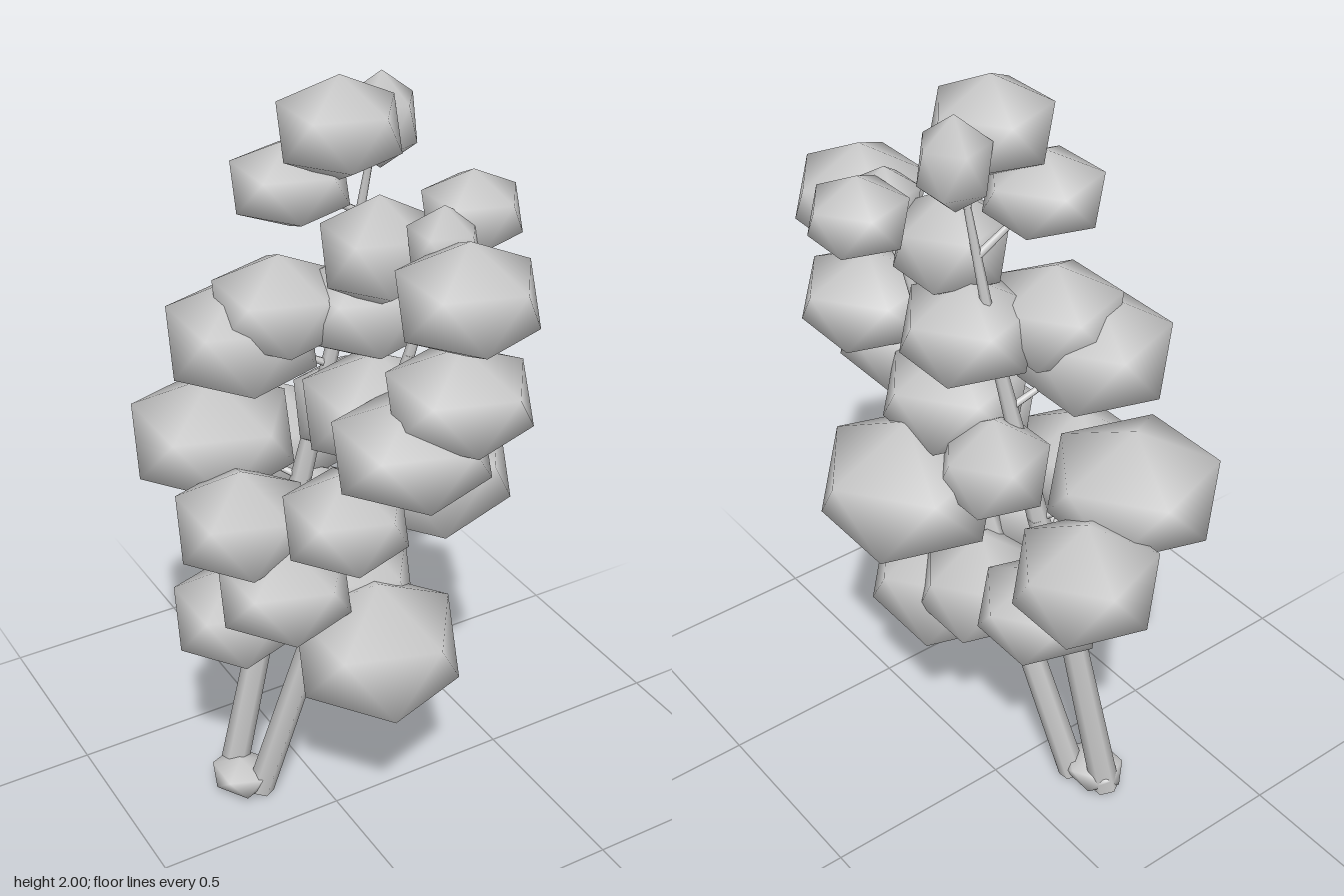
import * as THREE from 'three';

const material = new THREE.MeshStandardMaterial({ color: 0xcccccc });
const UP = new THREE.Vector3(0, 1, 0);

// Icosahedron standing on a corner, with smooth normals
function clumpGeometry() {
  const g = new THREE.IcosahedronGeometry(1, 0);
  g.rotateZ(-Math.atan(2 / (1 + Math.sqrt(5))));
  g.setAttribute('normal', g.attributes.position.clone());
  return g;
}

// Tapered six-sided limb between two points
function limb(name, a, b, r0, r1) {
  const dir = b.clone().sub(a);
  const mesh = new THREE.Mesh(new THREE.CylinderGeometry(r1, r0, dir.length(), 6), material);
  mesh.position.copy(a).add(b).multiplyScalar(0.5);
  mesh.quaternion.setFromUnitVectors(UP, dir.normalize());
  mesh.name = name;
  return mesh;
}

// Trunk stations: x, y, z, radius
const TRUNKS = {
  frontTrunk: [[-0.155, 0.015, -0.135, 0.036], [-0.06, 0.5, -0.035, 0.032], [0, 0.95, 0.08, 0.024],
    [0.08, 1.4, 0.18, 0.013], [0.12, 1.62, 0.22, 0.008]],
  backTrunk: [[-0.19, 0.015, -0.23, 0.038], [-0.09, 0.62, -0.175, 0.031], [-0.02, 0.95, -0.135, 0.026],
    [0.06, 1.4, -0.08, 0.015], [0.11, 1.82, -0.03, 0.007]],
};

// Foliage clumps: x, y, z, half width, half height
const CLUMPS = [
  // crown
  [-0.01, 1.885, 0.03, 0.135, 0.115], [0.125, 1.86, -0.025, 0.08, 0.11], [-0.08, 1.745, -0.06, 0.132, 0.1],
  [0.24, 1.695, 0.165, 0.112, 0.097], [0.13, 1.665, 0.225, 0.08, 0.09], [0.095, 1.61, 0.375, 0.154, 0.13],
  [0.06, 1.61, 0.08, 0.13, 0.13],
  // upper
  [0.105, 1.36, 0.345, 0.163, 0.125], [0.08, 1.44, -0.005, 0.155, 0.132], [-0.165, 1.36, -0.145, 0.175, 0.15],
  [-0.1, 1.445, -0.085, 0.152, 0.128], [0.01, 1.245, 0.31, 0.178, 0.13], [0.06, 1.22, 0.075, 0.17, 0.14],
  // middle
  [0.09, 1.13, -0.11, 0.128, 0.13], [0.2, 1.025, 0.07, 0.21, 0.175], [-0.09, 1.03, 0.2, 0.145, 0.128],
  [-0.185, 1.045, -0.275, 0.2, 0.155], [0.025, 0.935, -0.362, 0.167, 0.155], [-0.24, 0.95, -0.02, 0.158, 0.14],
  // lower
  [0.055, 0.78, -0.24, 0.148, 0.12], [-0.18, 0.8, 0.07, 0.16, 0.13], [-0.25, 0.68, -0.05, 0.152, 0.135],
  [0.025, 0.61, 0.155, 0.203, 0.18], [0.05, 0.695, -0.005, 0.152, 0.155],
];

// Point on a trunk at a given height
function trunkAt(stations, y) {
  const i = Math.max(1, stations.findIndex((s) => s[1] >= y));
  const a = stations[i - 1], b = stations[i];
  return new THREE.Vector3(...a).lerp(new THREE.Vector3(...b), (y - a[1]) / (b[1] - a[1]));
}

export function createModel() {
  const tree = new THREE.Group();
  tree.name = 'tree';

  // Twin leaning trunks
  for (const [name, stations] of Object.entries(TRUNKS)) {
    const trunk = new THREE.Group();
    trunk.name = name;
    for (let i = 1; i < stations.length; i++) {
      const a = stations[i - 1], b = stations[i];
      trunk.add(limb('trunkSection', new THREE.Vector3(...a), new THREE.Vector3(...b), a[3], b[3]));
    }
    tree.add(trunk);
  }

  // Clumps, all facing the same way, each carried by a twig from the nearer trunk
  const geometry = clumpGeometry();
  const foliage = new THREE.Group();
  const twigs = new THREE.Group();
  foliage.name = 'foliage';
  twigs.name = 'twigs';
  for (const [x, y, z, w, h] of CLUMPS) {
    const clump = new THREE.Mesh(geometry, material);
    clump.name = 'leafClump';
    clump.position.set(x, y, z);
    clump.scale.set(w * 1.1, h, w * 1.1);
    foliage.add(clump);

    // Twigs start a little lower, never above the trunk tips
    const roots = Object.values(TRUNKS).map((s) => trunkAt(s, Math.min(y - 0.1, s[s.length - 1][1])));
    const [root] = roots.sort((p, q) => p.distanceTo(clump.position) - q.distanceTo(clump.position));
    twigs.add(limb('twig', root, clump.position, 0.01, 0.005));
  }
  tree.add(foliage, twigs);

  // Knob that joins the feet of the trunks
  const knob = new THREE.Mesh(geometry, material);
  knob.name = 'rootKnob';
  knob.position.set(-0.19, 0.047, -0.18);
  knob.scale.set(0.08, 0.047, 0.095);
  tree.add(knob);

  return tree;
}
